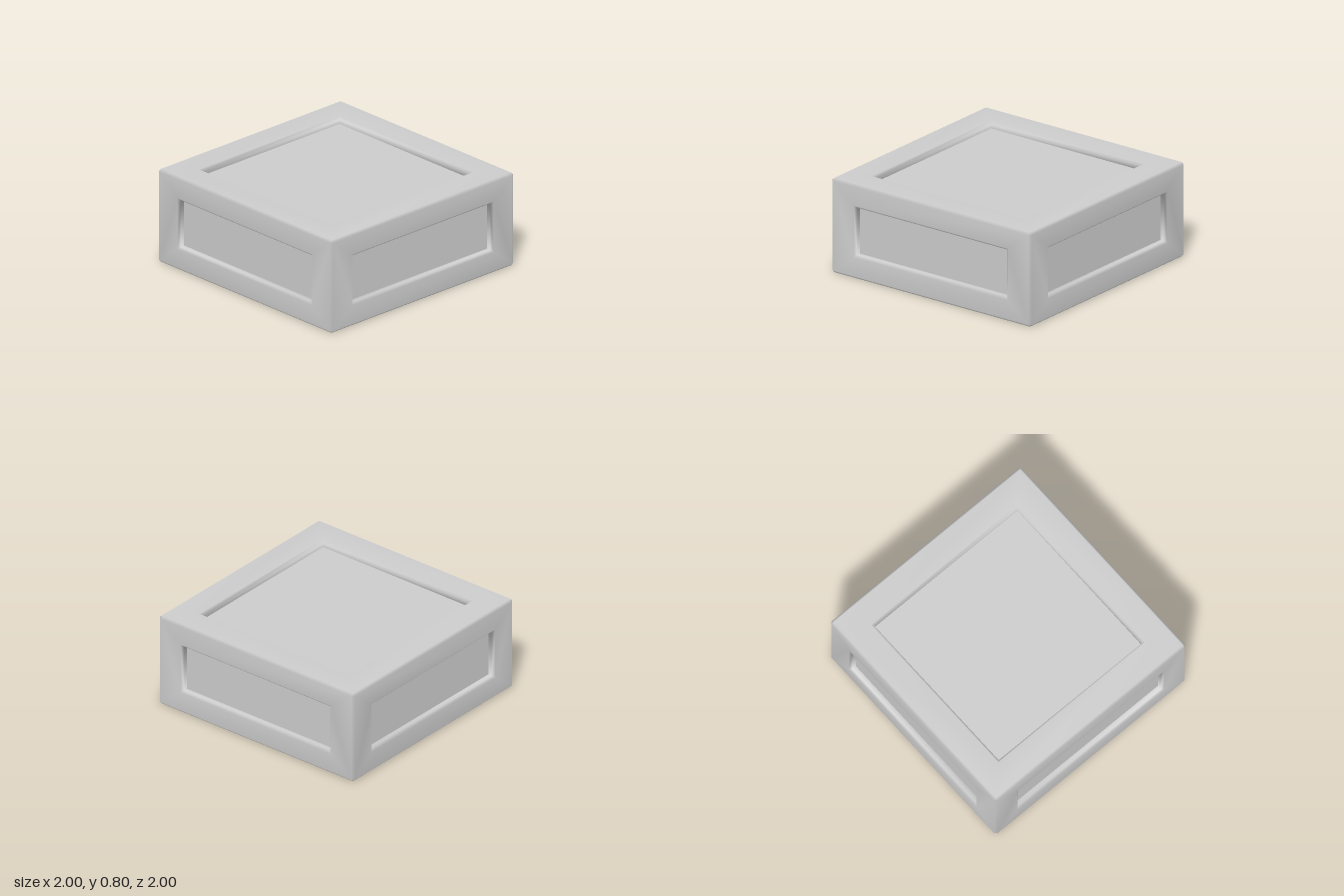
import * as THREE from 'three';
import { mergeVertices } from 'three/addons/utils/BufferGeometryUtils.js';

const half = [1, 0.4, 1];          // half size of the block along x, y, z
const opening = [0.75, 0.2, 0.75]; // half size of the windows along x, y, z
const bevel = 0.02;
const depth = 0.055;               // how far the panels sit below the frame

// Frame shell: six windowed faces joined by bevelled edges and corners
function frameGeometry() {
  const positions = [];
  const tri = (p, q, r, flip) => positions.push(...p, ...(flip ? r : q), ...(flip ? q : r));
  const quad = (p, q, r, s, flip) => { tri(p, q, r, flip); tri(p, r, s, flip); };
  const point = (a, da, b, db, c, dc) => {
    const p = [0, 0, 0];
    p[a] = da; p[b] = db; p[c] = dc;
    return p;
  };
  const corners = [[-1, -1], [1, -1], [1, 1], [-1, 1]];
  const inset = half.map((h) => h - bevel);

  for (let a = 0; a < 3; a++) {
    const b = (a + 1) % 3, c = (a + 2) % 3;
    for (const s of [-1, 1]) {
      // Face rings: outer rim, window lip, lip bottom, foot of the wall
      const rings = [
        [half[a], inset[b], inset[c]],
        [half[a], opening[b] + bevel, opening[c] + bevel],
        [half[a] - bevel, opening[b], opening[c]],
        [half[a] - depth, opening[b], opening[c]],
      ].map(([h, u, v]) => corners.map(([i, j]) => point(a, s * h, b, i * u, c, j * v)));
      for (let r = 0; r < 3; r++) {
        for (let k = 0; k < 4; k++) {
          const n = (k + 1) % 4;
          quad(rings[r][k], rings[r][n], rings[r + 1][n], rings[r + 1][k], s < 0);
        }
      }
      // Bevelled edges running along axis c
      for (const t of [-1, 1]) {
        const onA = (e) => point(a, s * half[a], b, t * inset[b], c, e * inset[c]);
        const onB = (e) => point(a, s * inset[a], b, t * half[b], c, e * inset[c]);
        quad(onA(-1), onB(-1), onB(1), onA(1), s * t < 0);
      }
    }
  }

  // Corner triangles
  for (const x of [-1, 1]) for (const y of [-1, 1]) for (const z of [-1, 1]) {
    const sign = [x, y, z];
    const pts = [0, 1, 2].map((a) => sign.map((s, i) => s * (i === a ? half[i] : inset[i])));
    tri(...pts, x * y * z < 0);
  }

  const geometry = new THREE.BufferGeometry();
  geometry.setAttribute('position', new THREE.Float32BufferAttribute(positions, 3));
  const smooth = mergeVertices(geometry, 1e-4);
  smooth.computeVertexNormals();
  return smooth;
}

export function createModel() {
  const group = new THREE.Group();
  group.name = 'panelledBlock';
  const material = new THREE.MeshStandardMaterial({ color: 0xcccccc });

  const frame = new THREE.Mesh(frameGeometry(), material);
  frame.name = 'frame';

  // Inner box whose sides show as the recessed panels
  const size = half.map((h) => 2 * (h - depth));
  const panels = new THREE.Mesh(new THREE.BoxGeometry(...size), material);
  panels.name = 'recessedPanels';

  for (const mesh of [frame, panels]) {
    mesh.position.y = half[1];
    group.add(mesh);
  }
  return group;
}
